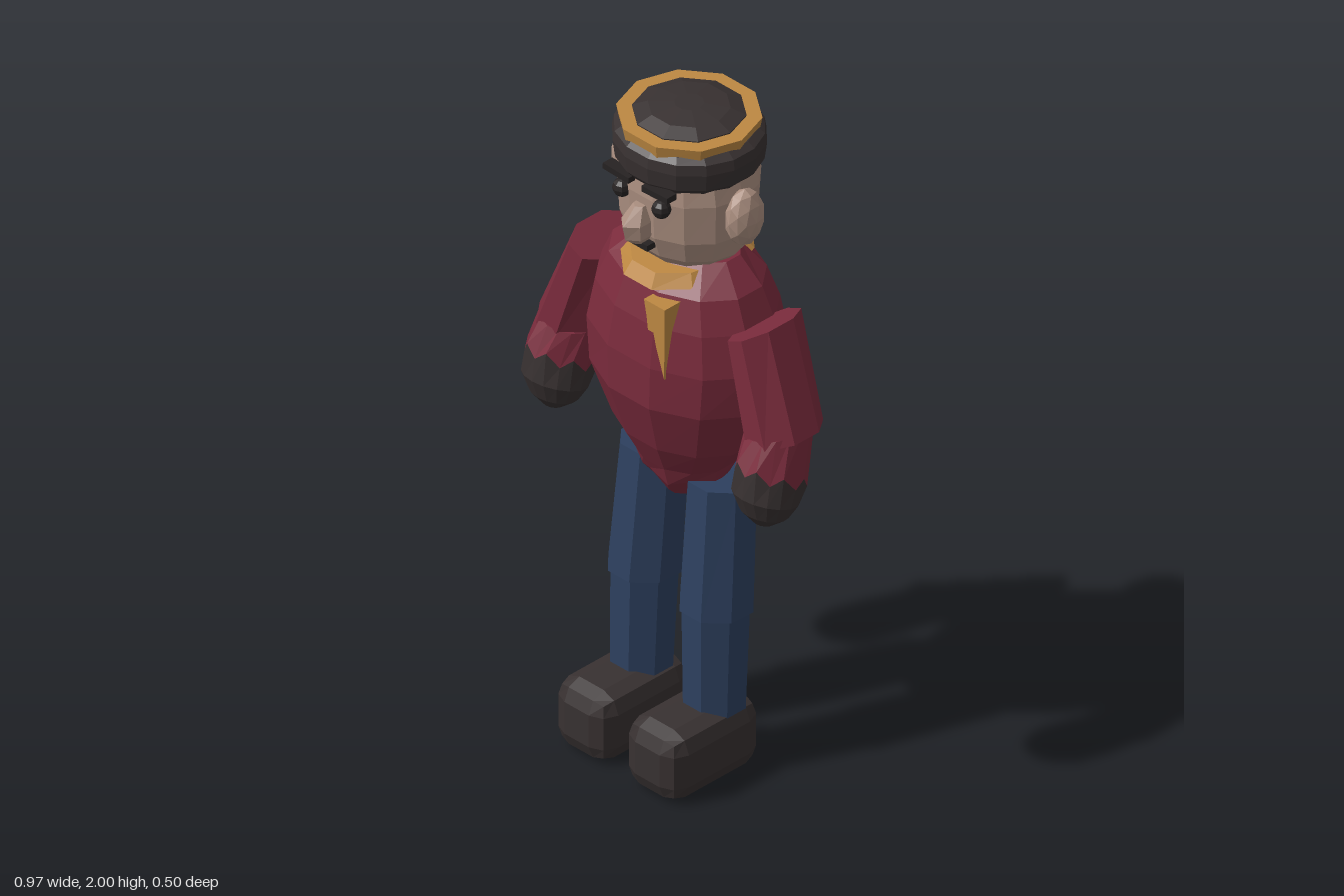
import * as THREE from 'three';
import { RoundedBoxGeometry } from 'three/addons/geometries/RoundedBoxGeometry.js';

const paint = (name, color) => {
  const m = new THREE.MeshStandardMaterial({ color });
  m.name = name;
  return m;
};

// Faceted normals for any geometry
function facet(geo) {
  const g = geo.index ? geo.toNonIndexed() : geo;
  g.computeVertexNormals();
  return g;
}

// Closed loft through elliptical rings listed from bottom to top.
// Ring: x, y, z centre; rx, rz radii; sx, sz slopes of the ring; jag makes a zigzag.
function loft(rings, n, offset = 0) {
  const pos = [];
  const loops = rings.map(({ x = 0, y, z = 0, rx, rz = rx, sx = 0, sz = 0, jag = 0 }) => {
    const loop = [];
    for (let i = 0; i < n; i++) {
      const a = ((i + offset) / n) * Math.PI * 2;
      const dx = Math.sin(a) * rx, dz = Math.cos(a) * rz;
      loop.push([x + dx, y + dx * sx + dz * sz + (i % 2 ? jag : -jag), z + dz]);
    }
    return loop;
  });
  const centre = (r) => [r.x ?? 0, r.y, r.z ?? 0];
  const low = centre(rings[0]), high = centre(rings[rings.length - 1]);
  const top = loops[loops.length - 1];
  for (let i = 0; i < n; i++) {
    const j = (i + 1) % n;
    for (let k = 0; k < loops.length - 1; k++) {
      const a = loops[k][i], b = loops[k][j], c = loops[k + 1][j], d = loops[k + 1][i];
      pos.push(...a, ...b, ...c, ...a, ...c, ...d);
    }
    pos.push(...low, ...loops[0][j], ...loops[0][i], ...high, ...top[i], ...top[j]);
  }
  const g = new THREE.BufferGeometry();
  g.setAttribute('position', new THREE.Float32BufferAttribute(pos, 3));
  return facet(g);
}

export function createModel() {
  const model = new THREE.Group();
  model.name = 'standingFigure';
  const shirt = paint('wine red', 0x7a2b3c);
  const denim = paint('denim blue', 0x2e4160);
  const dark = paint('charcoal brown', 0x383131);
  const skin = paint('skin', 0xab8f80);
  const gold = paint('mustard', 0xbd8842);
  const black = paint('black', 0x262222);

  const add = (name, geo, mat, x = 0, y = 0, z = 0, parent = model) => {
    const mesh = new THREE.Mesh(geo, mat);
    mesh.name = name;
    mesh.position.set(x, y, z);
    parent.add(mesh);
    return mesh;
  };

  // Torso, from the hem up to the shoulders
  add('torso', loft([
    { y: 0.8, z: -0.03, rx: 0.045, rz: 0.06 },
    { y: 0.87, z: -0.03, rx: 0.13, rz: 0.11, jag: 0.012 },
    { y: 0.92, z: -0.03, rx: 0.15, rz: 0.13 },
    { y: 1.01, z: -0.03, rx: 0.22, rz: 0.175 },
    { y: 1.17, z: -0.03, rx: 0.29, rz: 0.225 },
    { y: 1.3, z: -0.03, rx: 0.305, rz: 0.225 },
    { y: 1.42, z: -0.03, rx: 0.28, rz: 0.205 },
    { y: 1.51, z: -0.03, rx: 0.24, rz: 0.175 },
    { y: 1.58, z: -0.04, rx: 0.165, rz: 0.1 },
  ], 12, 0.5), shirt);

  // Neck scarf with a hanging tail
  add('scarf', loft([
    { y: 1.505, z: -0.03, rx: 0.09, rz: 0.13, sz: -0.1 },
    { y: 1.54, z: -0.03, rx: 0.165, rz: 0.195, sz: -0.1 },
    { y: 1.57, z: -0.03, rx: 0.14, rz: 0.17, sz: -0.06 },
  ], 10, 0.5), gold);
  const tail = new THREE.Shape([
    [0.045, 1.5], [0.055, 1.45], [0.06, 1.41], [0.08, 1.41], [0.09, 1.37], [0.12, 1.28], [0.122, 1.5],
  ].map(([x, y]) => new THREE.Vector2(x, y)));
  add('scarfTail', facet(new THREE.ExtrudeGeometry(tail, { depth: 0.07, bevelEnabled: false })), gold, 0, 0, 0.106);

  // Head
  add('head', loft([
    { y: 1.56, z: -0.035, rx: 0.13, rz: 0.115 },
    { y: 1.6, z: -0.035, rx: 0.17, rz: 0.15 },
    { y: 1.67, z: -0.035, rx: 0.193, rz: 0.175 },
    { y: 1.79, z: -0.035, rx: 0.2, rz: 0.183 },
    { y: 1.86, z: -0.035, rx: 0.185, rz: 0.175 },
  ], 14, 0.5), skin);

  // Nose and mouth
  add('nose', loft([
    { y: 1.65, z: 0.145, rx: 0.018, rz: 0.025 },
    { y: 1.675, z: 0.15, rx: 0.037, rz: 0.05 },
    { y: 1.72, z: 0.15, rx: 0.04, rz: 0.06 },
    { y: 1.765, z: 0.14, rx: 0.02, rz: 0.025 },
  ], 6), skin);
  add('mouth', new THREE.BoxGeometry(0.076, 0.018, 0.03), black, 0, 1.645, 0.142);

  // Hat: padded band, mustard rim and shallow crown
  add('hatBand', loft([
    { y: 1.83, z: -0.037, rx: 0.185, rz: 0.18 },
    { y: 1.85, z: -0.037, rx: 0.204, rz: 0.195 },
    { y: 1.9, z: -0.037, rx: 0.211, rz: 0.201 },
    { y: 1.93, z: -0.037, rx: 0.206, rz: 0.196 },
    { y: 1.945, z: -0.037, rx: 0.185, rz: 0.18 },
  ], 16, 0.5), dark);
  add('hatRim', loft([
    { y: 1.925, z: -0.036, rx: 0.185, rz: 0.185 },
    { y: 1.972, z: -0.036, rx: 0.195, rz: 0.193 },
  ], 10, 0.5), gold);
  add('hatCrown', loft([
    { y: 1.96, z: -0.036, rx: 0.152 },
    { y: 1.975, z: -0.036, rx: 0.152 },
    { y: 1.992, z: -0.036, rx: 0.11 },
    { y: 2.0, z: -0.036, rx: 0.04 },
  ], 10, 0.5), dark);

  // Paired parts; s is +1 on the left and -1 on the right
  for (const s of [1, -1]) {
    const side = new THREE.Group();
    side.name = s > 0 ? 'leftSide' : 'rightSide';
    model.add(side);
    const put = (name, geo, mat, x = 0, y = 0, z = 0) => add(name, geo, mat, x * s, y, z, side);
    const limb = (rings, n, offset) =>
      loft(rings.map((r) => ({ ...r, x: r.x * s, sx: (r.sx ?? 0) * s })), n, offset);

    // Face
    put('eye', facet(new THREE.SphereGeometry(0.027, 8, 6)), black, 0.073, 1.78, 0.139);
    const brow = put('eyebrow', new THREE.BoxGeometry(0.095, 0.018, 0.035), black, 0.072, 1.835, 0.147);
    brow.rotation.z = s * 0.04;
    const ear = facet(new THREE.IcosahedronGeometry(1, 1).scale(0.045, 0.087, 0.06));
    put('ear', ear, skin, 0.212, 1.742, -0.03);

    // Arm
    put('upperArm', limb([
      { x: 0.39, y: 1.157, z: 0, rx: 0.09, rz: 0.117, sx: 0.27 },
      { x: 0.295, y: 1.445, z: -0.02, rx: 0.066, rz: 0.12, sx: 0.45 },
    ], 8, 0.5), shirt);
    const cuff = { x: 0.39, y: 1.06, z: 0.05, rx: 0.092, rz: 0.097, sz: 0.45, jag: 0.016 };
    put('forearm', limb([
      cuff,
      { x: 0.38, y: 1.18, z: 0.01, rx: 0.085, rz: 0.1, sx: 0.2 },
    ], 16), shirt);
    put('glove', limb([
      { x: 0.39, y: 0.92, z: 0.075, rx: 0.035, rz: 0.03 },
      { x: 0.39, y: 0.95, z: 0.075, rx: 0.073, rz: 0.06, sz: 0.15 },
      { x: 0.39, y: 0.995, z: 0.07, rx: 0.094, rz: 0.087, sz: 0.3 },
      cuff,
    ], 16), dark);

    // Leg
    put('thigh', limb([
      { x: 0.133, y: 0.493, z: -0.005, rx: 0.103, rz: 0.106, sz: 0.04 },
      { x: 0.125, y: 0.88, z: -0.035, rx: 0.095, rz: 0.1, sz: 0.08 },
    ], 8, 0.5), denim);
    put('shin', limb([
      { x: 0.135, y: 0.19, z: 0.005, rx: 0.088, rz: 0.09 },
      { x: 0.132, y: 0.5, z: -0.003, rx: 0.096, rz: 0.098 },
    ], 8, 0.5), denim);
    put('boot', facet(new RoundedBoxGeometry(0.2, 0.21, 0.335, 1, 0.055)), dark, 0.131, 0.105, 0.082);
  }
  return model;
}
